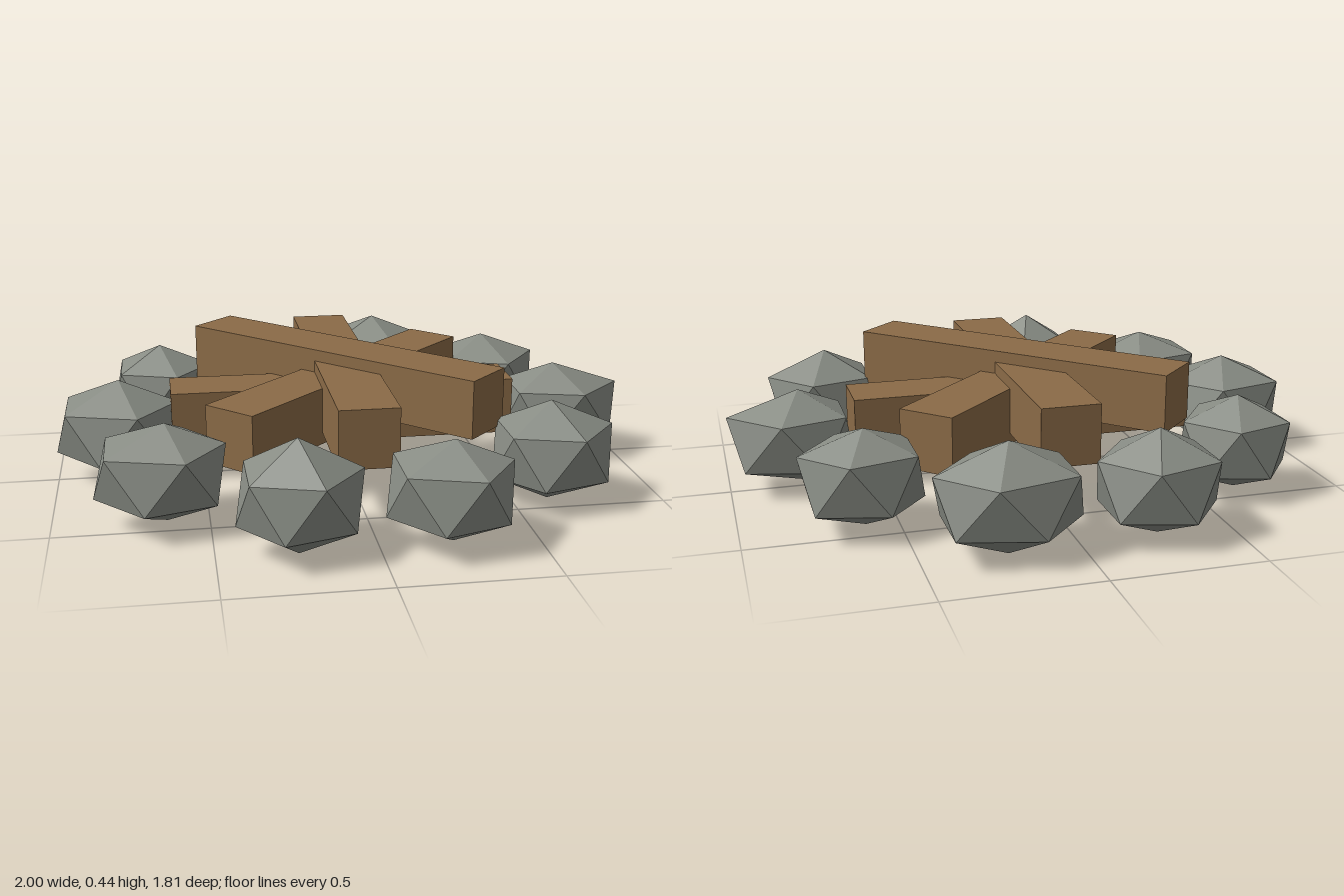
import * as THREE from 'three';
import { ConvexGeometry } from 'three/addons/geometries/ConvexGeometry.js';

const CX = -0.01, CZ = -0.005; // centre of the fire ring
const RING_RADIUS = 0.77;
const STONE_Y = 0.187;

// Reach of each stone from its centre (right, left, back, front), then top and bottom heights.
const STONES = [
  [0.24, 0.18, 0.17, 0.155, 0.35, 0.03],
  [0.205, 0.19, 0.15, 0.187, 0.345, 0.03],
  [0.23, 0.235, 0.17, 0.18, 0.363, 0.005],
  [0.2, 0.195, 0.17, 0.17, 0.36, 0.02],
  [0.188, 0.18, 0.16, 0.175, 0.35, 0.03],
  [0.2, 0.22, 0.165, 0.187, 0.355, 0.03],
  [0.19, 0.23, 0.17, 0.18, 0.345, 0.02],
  [0.2, 0.19, 0.18, 0.17, 0.375, 0.005],
  [0.185, 0.21, 0.18, 0.18, 0.345, 0.015],
  [0.21, 0.19, 0.17, 0.17, 0.36, 0.02],
];

// Twenty-sided stone: two poles and two staggered five-point rings, stretched unevenly.
function stoneGeometry([right, left, back, front, top, bottom]) {
  const points = [
    new THREE.Vector3(0, top - STONE_Y, 0),
    new THREE.Vector3(0, bottom - STONE_Y, 0),
  ];
  for (let i = 0; i < 10; i++) {
    const a = (i * Math.PI) / 5;
    const c = Math.cos(a), s = Math.sin(a) / Math.sin(Math.PI * 0.4);
    points.push(new THREE.Vector3(
      c * (c > 0 ? right : left),
      i % 2 ? -0.083 : 0.083,
      s * (s > 0 ? front : back),
    ));
  }
  return new ConvexGeometry(points);
}

export function createModel() {
  const model = new THREE.Group();
  model.name = 'campfire';

  const wood = new THREE.MeshStandardMaterial({ color: 0x8b6b47 });
  wood.name = 'brown wood';
  const rock = new THREE.MeshStandardMaterial({ color: 0x888c84 });
  rock.name = 'grey stone';
  rock.flatShading = true;

  // Four crossed logs, each turned 45 degrees and a little higher than the last
  const logs = new THREE.Group();
  logs.name = 'logs';
  const logGeometry = new THREE.BoxGeometry(1.19, 0.195, 0.195);
  for (let i = 0; i < 4; i++) {
    const log = new THREE.Mesh(logGeometry, wood);
    log.name = `log${i + 1}`;
    log.position.set(CX, 0.2275 + i * 0.04, CZ);
    log.rotation.y = (i * Math.PI) / 4;
    logs.add(log);
  }
  model.add(logs);

  // Ring of ten stones
  const ring = new THREE.Group();
  ring.name = 'stoneRing';
  STONES.forEach((shape, i) => {
    const a = (i * Math.PI) / 5;
    const stone = new THREE.Mesh(stoneGeometry(shape), rock);
    stone.name = `stone${i + 1}`;
    stone.position.set(CX + RING_RADIUS * Math.cos(a), STONE_Y, CZ - RING_RADIUS * Math.sin(a));
    ring.add(stone);
  });
  model.add(ring);

  return model;
}
